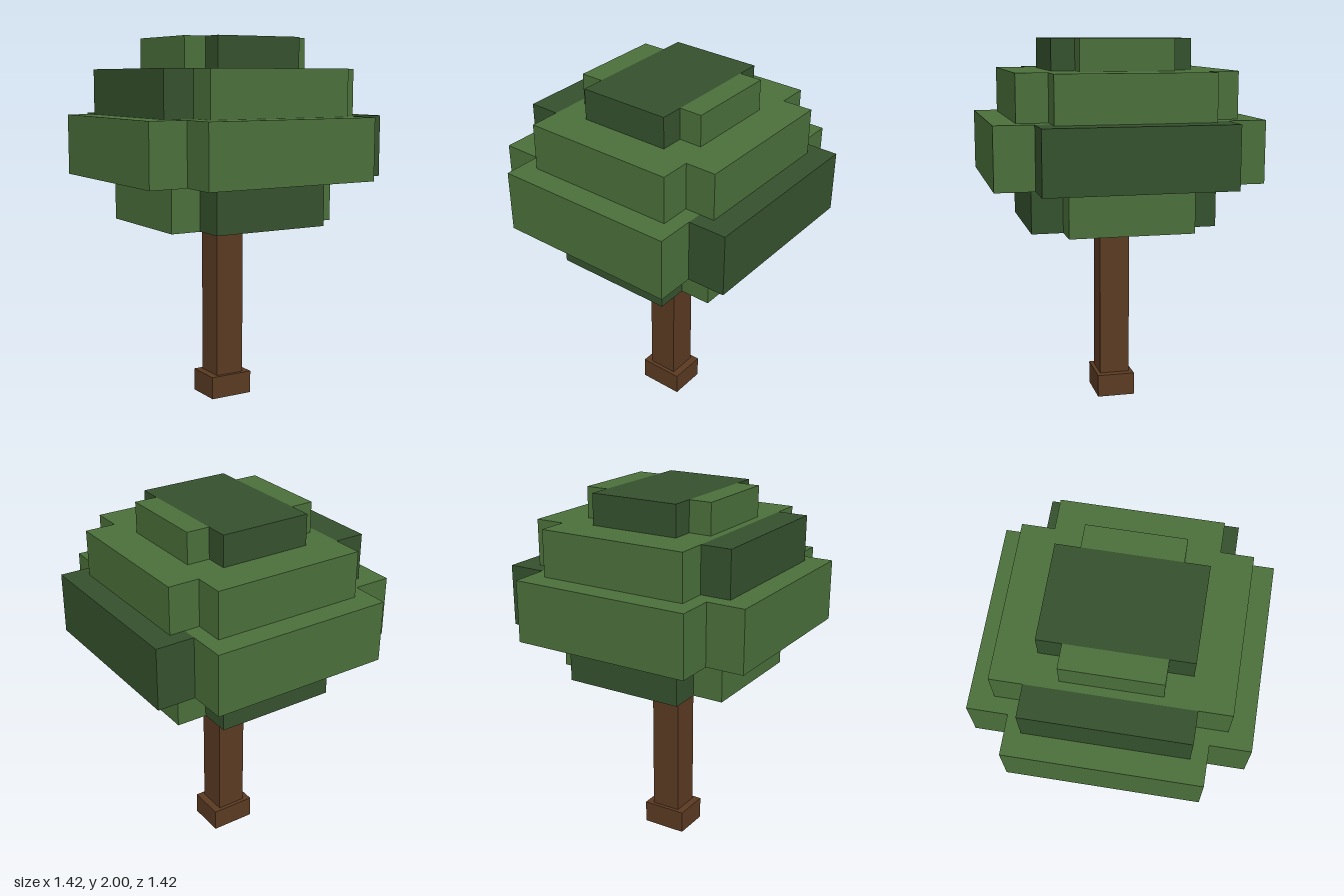
import * as THREE from 'three';

const mat = (name, color) => {
  const m = new THREE.MeshStandardMaterial({ color });
  m.name = name;
  return m;
};

// Box given by its min/max extents on each axis
function box(name, material, [x0, x1], [y0, y1], [z0, z1]) {
  const mesh = new THREE.Mesh(new THREE.BoxGeometry(x1 - x0, y1 - y0, z1 - z0), material);
  mesh.position.set((x0 + x1) / 2, (y0 + y1) / 2, (z0 + z1) / 2);
  mesh.name = name;
  return mesh;
}

export function createModel() {
  const bark = mat('bark brown', 0x5a3a22);
  const light = mat('leaf green', 0x4a6f3a);
  const dark = mat('dark leaf green', 0x35512d);

  const tree = new THREE.Group();
  tree.name = 'tree';

  // Trunk, foot and side branch
  tree.add(
    box('trunkFoot', bark, [-0.125, 0.125], [0, 0.125], [-0.104, 0.104]),
    box('trunk', bark, [-0.083, 0.083], [0.125, 1], [-0.083, 0.083]),
    box('branch', bark, [-0.355, -0.083], [0.96, 1], [-0.07, 0])
  );

  // Plus-shaped leaf layers: a core long in z, with a wing on each x side
  const layers = [
    { y: [1, 1.25], inner: 0.333, outer: 0.5, core: dark, minusX: light, plusX: light },
    { y: [1.25, 1.583], inner: 0.5, outer: 0.708, core: light, minusX: light, plusX: dark },
    { y: [1.583, 1.833], inner: 0.417, outer: 0.583, core: light, minusX: dark, plusX: light },
    { y: [1.833, 2], inner: 0.25, outer: 0.375, core: dark, minusX: light, plusX: light },
  ];
  layers.forEach(({ y, inner, outer, core, minusX, plusX }, i) => {
    const layer = new THREE.Group();
    layer.name = `leafLayer${i + 1}`;
    layer.add(
      box('leafCore', core, [-inner, inner], y, [-outer, outer]),
      box('rightLeafWing', minusX, [-outer, -inner], y, [-inner, inner]),
      box('leftLeafWing', plusX, [inner, outer], y, [-inner, inner])
    );
    tree.add(layer);
  });

  return tree;
}
